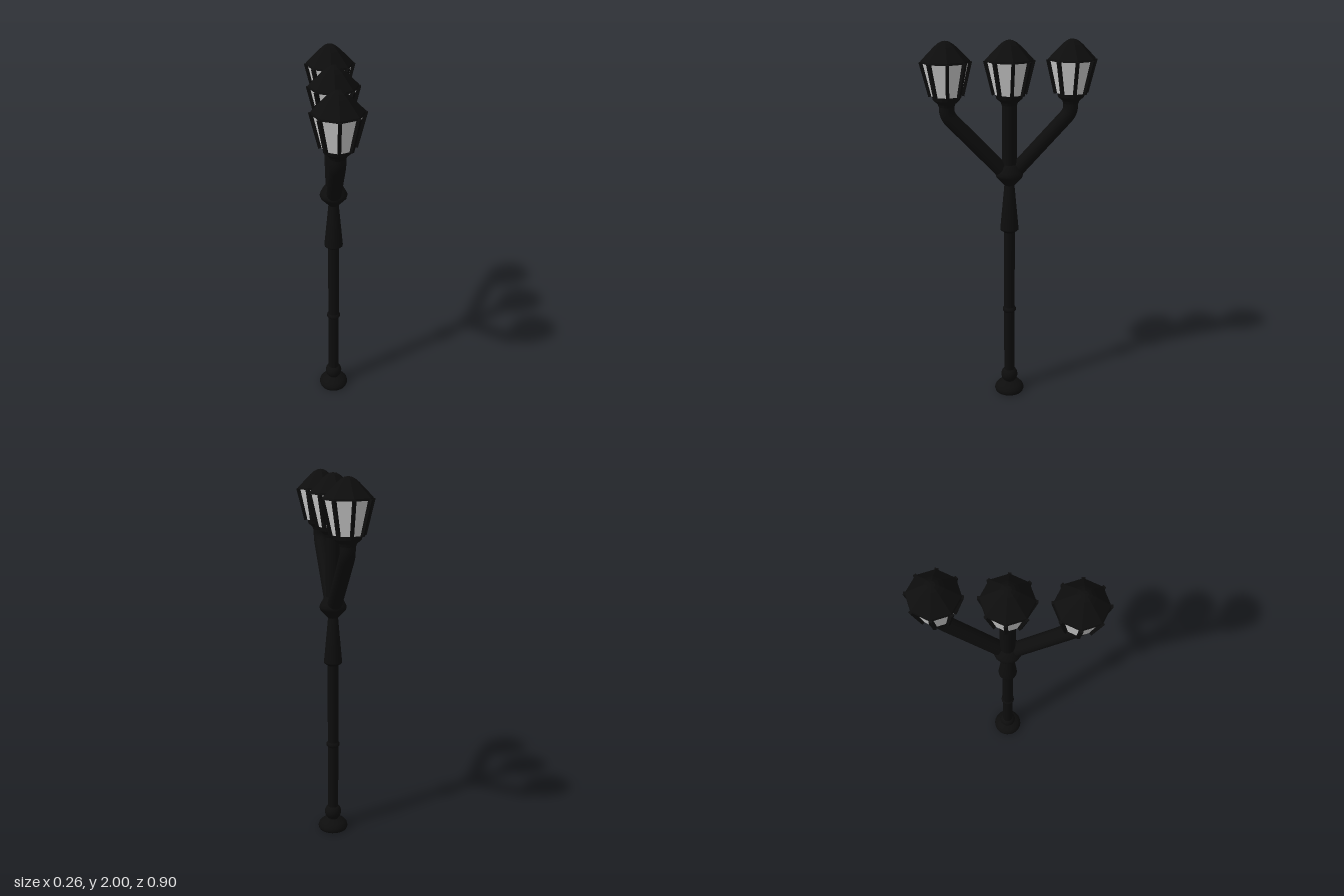
import * as THREE from 'three';

const iron = new THREE.MeshStandardMaterial({ color: 0x0d0d0d, side: THREE.DoubleSide });
const ironFlat = new THREE.MeshStandardMaterial({ color: 0x0d0d0d, flatShading: true });
const glass = new THREE.MeshStandardMaterial({ color: 0xcccccc, flatShading: true });

const add = (parent, name, geometry, material) => {
  const mesh = new THREE.Mesh(geometry, material);
  mesh.name = name;
  parent.add(mesh);
  return mesh;
};
// Turned part from [radius, height] pairs
const lathe = (points, sides) =>
  new THREE.LatheGeometry(points.map(([r, y]) => new THREE.Vector2(r, y)), sides);

// Eight-sided lantern, standing on its stem at y = 1.68
function lantern() {
  const g = new THREE.Group();
  g.name = 'lantern';
  add(g, 'lanternCup', lathe([[0, 1.67], [0.04, 1.675], [0.045, 1.69], [0.068, 1.71], [0.073, 1.735], [0, 1.735]], 16), ironFlat);
  const panes = add(g, 'lanternGlass', new THREE.CylinderGeometry(0.117, 0.078, 0.17, 8), glass);
  panes.position.y = 1.815;
  add(g, 'lanternRoof', lathe([[0, 1.895], [0.125, 1.895], [0.122, 1.905], [0.055, 1.972],
    [0.035, 1.988], [0.018, 1.997], [0, 2]], 8), ironFlat);

  // Slanted ribs on the corners of the glass
  const low = 0.079, high = 0.121, rise = 0.17;
  for (let i = 0; i < 8; i++) {
    const turn = new THREE.Group();
    turn.name = 'lanternRib';
    turn.rotation.y = (i * Math.PI) / 4;
    const rib = add(turn, 'ribBar', new THREE.BoxGeometry(0.016, Math.hypot(rise, high - low), 0.022), ironFlat);
    rib.position.set(0, 1.815, (low + high) / 2);
    rib.rotation.x = Math.atan2(high - low, rise);
    g.add(turn);
  }
  return g;
}

// Side arm: slanted tube with a rounded elbow up to its lantern
function armGeometry(side) {
  const p = (y, z) => new THREE.Vector3(0, y, side * z);
  const path = new THREE.CurvePath();
  path.add(new THREE.LineCurve3(p(1.29, 0), p(1.605, 0.297)));
  path.add(new THREE.QuadraticBezierCurve3(p(1.605, 0.297), p(1.63, 0.32), p(1.66, 0.32)));
  path.add(new THREE.LineCurve3(p(1.66, 0.32), p(1.7, 0.32)));
  return new THREE.TubeGeometry(path, 48, 0.039, 16);
}

export function createModel() {
  const model = new THREE.Group();
  model.name = 'streetLamp';

  // Foot and post
  add(model, 'foot', lathe([[0, 0], [0.08, 0], [0.084, 0.012], [0.08, 0.027], [0.067, 0.042],
    [0.045, 0.053], [0.03, 0.06]], 24), iron);
  const ball = add(model, 'footBall', new THREE.SphereGeometry(0.047, 24, 16), iron);
  ball.position.y = 0.1;
  const post = add(model, 'post', new THREE.CylinderGeometry(0.03, 0.03, 0.99, 16), iron);
  post.position.y = 0.535;
  add(model, 'postRing', lathe([[0.029, 0.505], [0.037, 0.515], [0.037, 0.527], [0.029, 0.537]], 16), iron);
  add(model, 'taperedCollar', lathe([[0, 0.985], [0.03, 0.985], [0.05, 1.0], [0.05, 1.005],
    [0.027, 1.25], [0, 1.25]], 16), iron);

  // Hub where the arms meet
  add(model, 'hub', lathe([[0, 1.235], [0.015, 1.237], [0.069, 1.295], [0.073, 1.31], [0.067, 1.325],
    [0.05, 1.355], [0.038, 1.365]], 16), iron);
  const stem = add(model, 'centreStem', new THREE.CylinderGeometry(0.039, 0.039, 0.4, 16), iron);
  stem.position.y = 1.5;

  for (const side of [-1, 1]) add(model, 'sideArm', armGeometry(side), iron);
  for (const z of [-0.32, 0, 0.32]) {
    const lamp = lantern();
    lamp.position.z = z;
    model.add(lamp);
  }
  return model;
}
